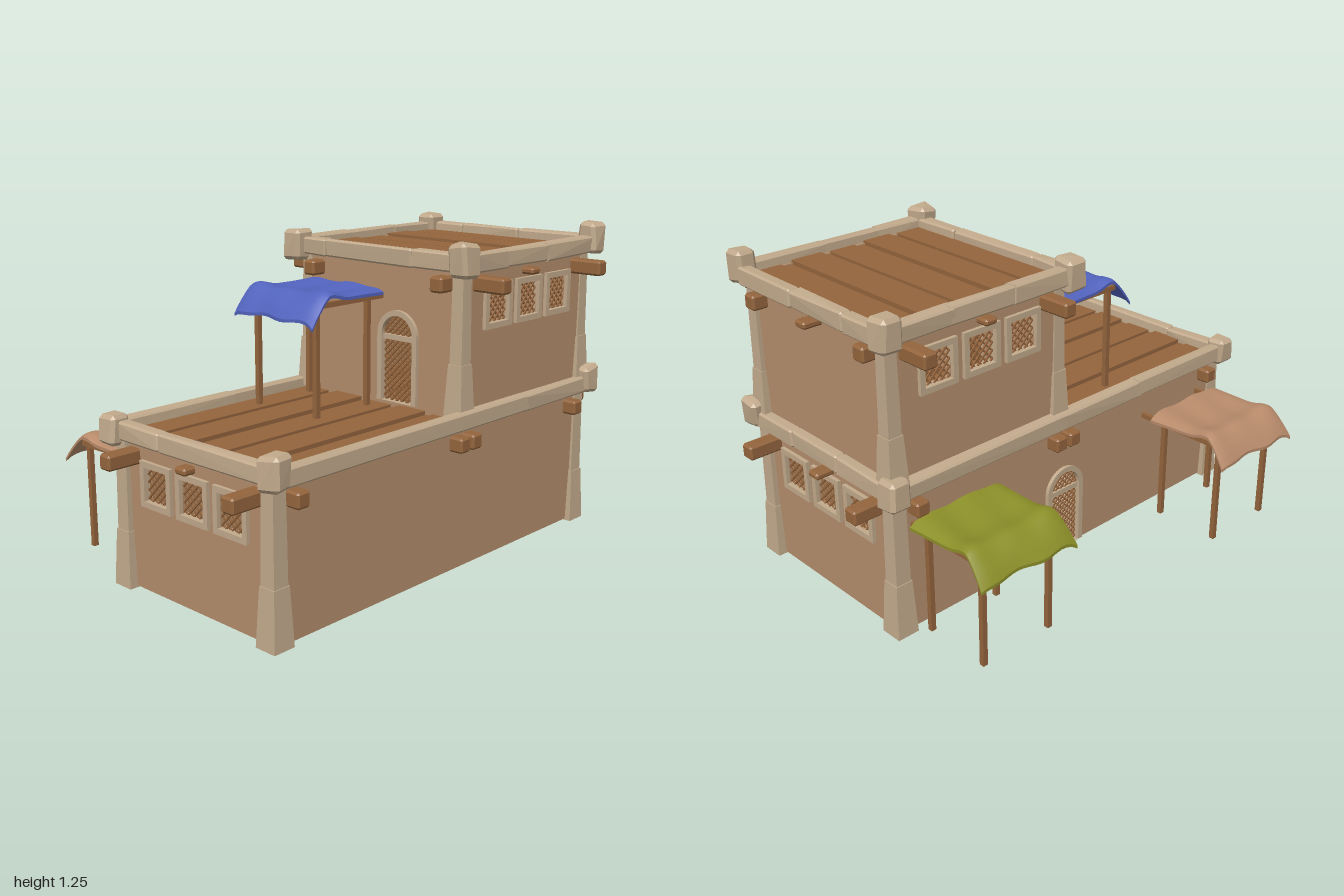
import * as THREE from 'three';
import { ConvexGeometry } from 'three/addons/geometries/ConvexGeometry.js';

const mat = (name, color, extra = {}) => {
  const m = new THREE.MeshStandardMaterial({ color, ...extra });
  m.name = name;
  return m;
};

export function createModel() {
  const M = {
    wall: mat('clay wall', 0xb48e6c),
    stone: mat('pale stone', 0xc2aa8c, { flatShading: true }),
    wood: mat('brown wood', 0x94653d),
    blue: mat('blue cloth', 0x5263bd),
    green: mat('green cloth', 0x8d9029),
    tan: mat('tan cloth', 0xb88b6b),
  };
  const root = new THREE.Group();
  root.name = 'twoStoreyHouse';
  const CX = 0.175, HX = 0.4; // house centre and half width in x

  let seed = 7;
  const rnd = () => (seed = (seed * 16807) % 2147483647) / 2147483647 - 0.5;

  const add = (parent, name, geo, material, x = 0, y = 0, z = 0) => {
    const m = new THREE.Mesh(geo, material);
    m.name = name;
    m.position.set(x, y, z);
    parent.add(m);
    return m;
  };
  const box = (parent, name, material, w, h, d, x, y, z) =>
    add(parent, name, new THREE.BoxGeometry(w, h, d), material, x, y, z);

  // Chamfered block, optionally a little irregular
  const block = (w, h, d, c, jitter = 0) => {
    const pts = [];
    for (const sx of [-1, 1]) for (const sy of [-1, 1]) for (const sz of [-1, 1]) {
      const jx = rnd() * jitter, jy = rnd() * jitter, jz = rnd() * jitter;
      for (const [a, b, e] of [[0, c, c], [c, 0, c], [c, c, 0]])
        pts.push(new THREE.Vector3(sx * (w / 2 - a) + jx, sy * (h / 2 - b) + jy, sz * (d / 2 - e) + jz));
    }
    return new ConvexGeometry(pts);
  };

  // Rectangular or round-topped outline standing on y
  const outline = (o, grow, Type) => {
    const s = new Type(), w = o.w / 2 + grow, b = o.y - (o.arch ? 0 : grow), t = o.y + o.h + grow;
    s.moveTo(o.x - w, b);
    s.lineTo(o.x + w, b);
    if (o.arch) s.absarc(o.x, t - w, w, 0, Math.PI, false);
    else s.lineTo(o.x + w, t).lineTo(o.x - w, t);
    s.closePath();
    return s;
  };
  const inside = (o, x, y) => {
    const dx = Math.abs(x - o.x), r = o.w / 2, top = o.y + o.h;
    if (dx > r || y < o.y || y > top) return false;
    return !o.arch || y < top - r || Math.hypot(dx, y - top + r) < r;
  };

  // Diagonal bars clipped to an opening
  const lattice = (parent, o, step, bar) => {
    const cy = o.y + o.h / 2, reach = o.w + o.h;
    for (const s of [-1, 1]) {
      const ux = Math.SQRT1_2, uy = s * Math.SQRT1_2;
      for (let k = -reach; k <= reach; k += step) {
        let t0 = null, t1 = null;
        for (let t = -reach; t <= reach; t += 0.002)
          if (inside(o, o.x - uy * k + ux * t, cy + ux * k + uy * t)) { t0 ??= t; t1 = t; }
        if (t0 === null || t1 - t0 < 0.006) continue;
        const t = (t0 + t1) / 2;
        box(parent, 'latticeBar', M.wood, t1 - t0 + 0.004, bar, 0.006,
          o.x - uy * k + ux * t, cy + ux * k + uy * t, -0.008 + s * 0.002).rotation.z = s * Math.PI / 4;
      }
    }
  };

  // One wall with its openings, outer face on local z = 0
  const facade = (name, width, y0, y1, openings, x, z, turn) => {
    const g = new THREE.Group();
    g.name = name;
    g.position.set(x, 0, z);
    g.rotation.y = turn;
    const w = width / 2;
    const s = new THREE.Shape().moveTo(-w, y0).lineTo(w, y0).lineTo(w, y1).lineTo(-w, y1).closePath();
    for (const o of openings) {
      s.holes.push(outline(o, 0, THREE.Path));
      const f = outline(o, 0.022, THREE.Shape);
      f.holes.push(outline({ ...o, y: o.y + (o.arch ? 0.001 : 0) }, 0, THREE.Path));
      add(g, o.arch ? 'doorFrame' : 'windowFrame',
        new THREE.ExtrudeGeometry(f, { depth: 0.037, bevelEnabled: false }), M.stone, 0, 0, -0.022);
      lattice(g, o, o.arch ? 0.018 : 0.021, o.arch ? 0.007 : 0.006);
      if (o.arch) box(g, 'doorCrossbar', M.stone, o.w, 0.02, 0.02, o.x, o.y + o.h - 0.085, -0.006);
    }
    add(g, 'wall', new THREE.ExtrudeGeometry(s, { depth: 0.02, bevelEnabled: false }), M.wall, 0, 0, -0.02);
    root.add(g);
  };
  const windows = (y) => [-0.195, 0, 0.195].map((x) => ({ x, y, w: 0.122, h: 0.126 }));
  const door = (x, y) => ({ x, y, w: 0.15, h: 0.335, arch: true });
  const Q = Math.PI / 2;

  // Walls of both storeys
  const UZ = -0.4675, UH = 0.3975, LH = 0.865;
  facade('lowerFront', 0.8, 0.006, 0.58, windows(0.352), CX, LH, 0);
  facade('lowerBack', 0.8, 0.006, 0.58, windows(0.352), CX, -LH, 2 * Q);
  facade('lowerLeft', 2 * LH, 0.006, 0.58, [], CX + HX, 0, Q);
  facade('lowerRight', 2 * LH, 0.006, 0.58, [door(-0.05, 0.012)], CX - HX, 0, -Q);
  facade('upperFront', 0.8, 0.57, 1.16, [door(0.1, 0.6)], CX, UZ + UH, 0);
  facade('upperBack', 0.8, 0.57, 1.16, [], CX, UZ - UH, 2 * Q);
  facade('upperLeft', 2 * UH, 0.57, 1.16, windows(0.927), CX + HX, UZ, Q);
  facade('upperRight', 2 * UH, 0.57, 1.16, windows(0.927), CX - HX, UZ, -Q);

  // Plank roofs
  const deck = (name, y, cz, halfZ, alongX) => {
    const g = new THREE.Group();
    g.name = name;
    box(g, 'deckBase', M.wood, 0.77, 0.03, halfZ * 2, CX, y - 0.03, cz);
    const span = alongX ? halfZ * 2 : 0.78, parts = [3, 1, 3.4, 0.8, 3, 1, 3.2, 0.8, 3], total = 19.2;
    let at = -span / 2;
    parts.forEach((p, i) => {
      const w = span * p / total, c = at + w / 2, py = y - 0.008 + (i % 2 ? -0.008 : 0.003 * (i % 4));
      if (alongX) box(g, 'plank', M.wood, 0.78, 0.022, w - 0.005, CX, py, cz + c);
      else box(g, 'plank', M.wood, w - 0.005, 0.022, halfZ * 2, CX + c, py, cz);
      at += w;
    });
    root.add(g);
  };
  deck('lowerRoof', 0.58, 0, 0.85, false);
  deck('upperRoof', 1.16, UZ, 0.385, true);

  // Flared corner pillar made of two tapered stones, with a rough cap
  const taper = (w0, w1, h) => {
    const geo = new THREE.CylinderGeometry(w1 * Math.SQRT1_2, w0 * Math.SQRT1_2, h, 4, 1);
    return geo.rotateY(Math.PI / 4).translate(0, h / 2, 0);
  };
  const pillar = (sx, z, zCap, y, footH, topY, foot, capY, capH) => {
    const x = CX + sx * 0.38;
    add(root, 'pillarFoot', taper(foot, foot - 0.02, footH), M.stone, x, y, z);
    add(root, 'pillarShaft', taper(foot - 0.027, foot - 0.034, topY - y - footH), M.stone, x, y + footH, z);
    add(root, 'pillarCap', block(0.088, capH, 0.088, 0.014, 0.014), M.stone, CX + sx * 0.415, capY, zCap);
  };
  for (const sx of [-1, 1]) {
    const up = sx > 0 ? 0.018 : 0;
    for (const sz of [-1, 1]) pillar(sx, sz * 0.855, sz * 0.88, 0, 0.215, 0.57, 0.09, 0.59 + up, 0.115);
    pillar(sx, -0.087, -0.045, 0.59, 0.2, 1.13, 0.082, 1.165 + up / 2, 0.125);
    pillar(sx, -0.855, -0.88, 0.59, 0.2, 1.13, 0.082, 1.172 + up, 0.125);
  }

  // Parapet stones: rows cut at the given fractions
  const parapet = (y, alongX, fixed, from, to, cuts) => {
    const marks = [0, ...cuts, 1].map((f) => from + (to - from) * f);
    for (let i = 1; i < marks.length; i++) {
      const len = marks[i] - marks[i - 1], mid = (marks[i] + marks[i - 1]) / 2, t = 0.048 + (i % 2) * 0.005;
      const geo = alongX ? block(len, 0.068, t, 0.007, 0.006) : block(t, 0.068, len, 0.007, 0.006);
      add(root, 'parapetStone', geo, M.stone, alongX ? mid : fixed, y, alongX ? fixed : mid);
    }
  };
  const xa = CX - 0.39, xb = CX + 0.39;
  parapet(0.588, true, 0.867, xa, xb, [0.3]);
  parapet(0.588, true, -0.88, xa, xb, [0.35, 0.7]);
  parapet(0.588, false, CX + 0.418, 0.85, -0.85, [0.76]);
  parapet(0.588, false, CX - 0.418, 0.85, -0.85, [0.3, 0.55]);
  parapet(1.163, true, -0.06, xa, xb, [0.17, 0.73]);
  parapet(1.163, true, -0.893, xa, xb, [0.2, 0.58]);
  parapet(1.163, false, CX + 0.418, -0.08, -0.85, [0.25, 0.6]);
  parapet(1.163, false, CX - 0.418, -0.08, -0.85, [0.33, 0.7]);

  // Beam ends sticking out of the walls
  const beamZ = (x, y, z0, z1, s = 0.058, h = s) =>
    add(root, 'beamEnd', block(s, h, Math.abs(z1 - z0), 0.008), M.wood, x, y, (z0 + z1) / 2);
  const beamX = (z, y, x0, x1, s = 0.058, h = s) =>
    add(root, 'beamEnd', block(Math.abs(x1 - x0), h, s, 0.008), M.wood, (x0 + x1) / 2, y, z);
  for (const sx of [-1, 1]) {
    const bx = CX + sx * 0.32, wx = CX + sx * 0.385;
    for (const sz of [-1, 1]) beamZ(bx, 0.507, sz * 0.85, sz * 1.0);
    beamZ(bx, 1.083, -0.09, -0.005);
    beamZ(bx, 1.083, -0.85, -0.925);
    for (const z of [0.79, -0.04, -0.11, -0.785]) beamX(z, 0.505, wx, CX + sx * 0.455);
    for (const z of [-0.155, -0.79]) beamX(z, 1.083, wx, CX + sx * 0.532);
    beamX(-0.455, 1.1, wx, CX + sx * 0.45, 0.056, 0.026);
  }
  beamZ(0.157, 0.522, 0.85, 0.912, 0.056, 0.028);
  beamZ(0.157, 0.522, -0.85, -0.94, 0.056, 0.028);
  beamZ(0.157, 1.1, -0.85, -0.94, 0.056, 0.028);

  // Awning: draped cloth on four posts, hanging over towards local +z
  const awning = (name, material, x, y, z, turn, height) => {
    const g = new THREE.Group();
    g.name = name;
    g.position.set(x, y, z);
    g.rotation.y = turn;
    const geo = new THREE.BoxGeometry(0.42, 0.012, 1, 18, 1, 20), p = geo.attributes.position;
    for (let i = 0; i < p.count; i++) {
      const u = p.getX(i) / 0.21, v = p.getZ(i) + 0.5, over = Math.max(0, (v - 0.7) / 0.3);
      const sag = -0.014 * (1 - u * u) * Math.sin(Math.PI * Math.min(1, v * 1.1));
      const ridge = 0.02 * Math.exp(-(((v - 0.68) / 0.13) ** 2)) * (0.6 + 0.4 * u * u);
      const edge = -0.02 * Math.abs(u) ** 8;
      const wave = 0.004 * Math.sin(u * 7 + v * 3);
      p.setXYZ(i, p.getX(i) * (1 - 0.03 * Math.sin(Math.PI * v)) + 0.006 * over * u,
        p.getY(i) + sag + ridge + edge + wave - 0.085 * over ** 1.6,
        v * 0.4 - 0.02 * over * (1 - u) * 0.5 - 0.012 * over * over + 0.006 * over * Math.sin(u * 6));
    }
    geo.computeVertexNormals();
    add(g, 'cloth', geo, material, 0, 0.027, 0);
    for (const sx of [-1, 1]) {
      for (const pz of [0.03, 0.305])
        box(g, 'post', M.wood, 0.02, height, 0.02, sx * 0.155, -height / 2, pz);
      box(g, 'rail', M.wood, 0.018, 0.02, 0.4, sx * 0.17, -0.006, 0.125);
    }
    for (const pz of [0.03, 0.305]) box(g, 'crossRail', M.wood, 0.36, 0.014, 0.016, 0, -0.006, pz);
    root.add(g);
  };
  awning('blueAwning', M.blue, 0.015, 1.01, -0.035, 0, 0.43);
  awning('tanAwning', M.tan, -0.3, 0.437, 0.585, -Q, 0.43);
  awning('greenAwning', M.green, -0.26, 0.437, -0.625, -Q, 0.425);

  return root;
}
